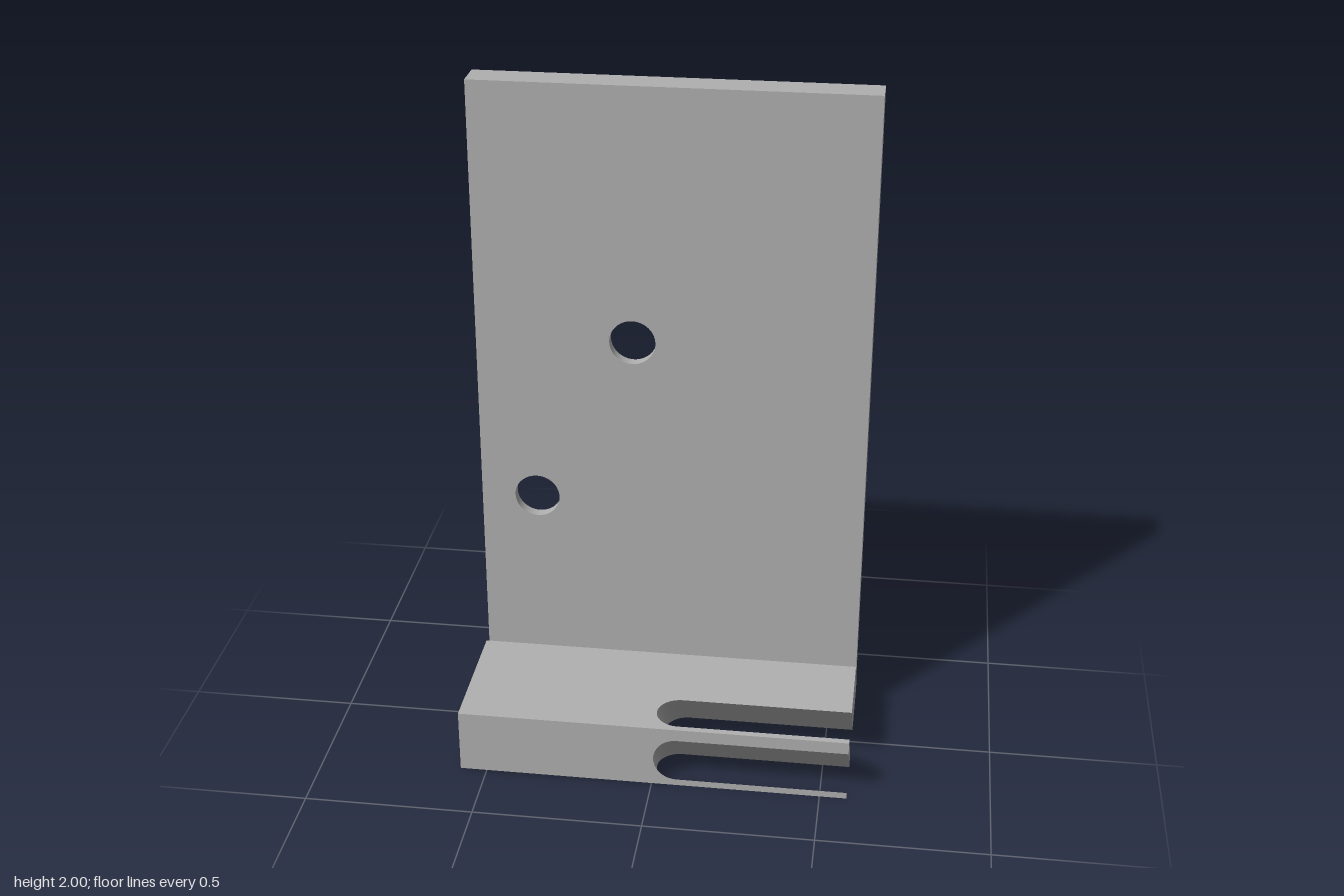
import * as THREE from 'three';

const H = 0.58;                          // half width
const V = (x, y) => new THREE.Vector2(x, y);
const FRONT = 0.291, DECK = 0.196;       // base front and base top
const SLOT = { v: 0.02, w: 0.138, x: 0.005 };
const HOLES = [V(-0.115, 1.23), V(-0.41, 0.705)];
const R_HOLE = 0.068, R_SINK = 0.13;
const Z_FRONT = -0.157, Z_BACK = -0.253; // plate faces

// Side section as (z, y), starting at the front toe
const section = [
  V(FRONT, 0), V(FRONT, DECK), V(-0.118, DECK), V(Z_FRONT, 0.157), V(Z_FRONT, 2),
  V(Z_BACK, 2), V(Z_BACK, 0.06), V(-0.291, 0.022), V(-0.291, 0),
];

export function createModel() {
  const group = new THREE.Group();
  group.name = 'angleBracket';
  const grey = new THREE.MeshStandardMaterial({ color: 0xb0b0b0, side: THREE.DoubleSide });
  grey.name = 'grey';

  // Adds a mesh whose first triangle is made to face the given direction
  function add(name, geo, outward) {
    const p = geo.attributes.position, idx = geo.index.array;
    const [a, b, c] = [0, 1, 2].map(i => new THREE.Vector3().fromBufferAttribute(p, idx[i]));
    if (b.sub(a).cross(c.sub(a)).dot(outward) < 0) {
      for (let i = 0; i < idx.length; i += 3) [idx[i + 1], idx[i + 2]] = [idx[i + 2], idx[i + 1]];
    }
    geo.computeVertexNormals();
    const mesh = new THREE.Mesh(geo, grey);
    mesh.name = name;
    group.add(mesh);
  }

  // Flat face from a 2D outline, placed in space by map(u, v)
  function face(name, outline, map, outward, holes = []) {
    const shape = new THREE.Shape(outline);
    for (const h of holes) {
      shape.holes.push(new THREE.Path().absarc(h.x, h.y, h.r, 0, Math.PI * 2));
    }
    const geo = new THREE.ShapeGeometry(shape, 24);
    const p = geo.attributes.position;
    for (let i = 0; i < p.count; i++) p.setXYZ(i, ...map(p.getX(i), p.getY(i)));
    add(name, geo, outward);
  }

  // Ruled wall between two rows of points
  function wall(name, rowA, rowB, outward) {
    const n = rowA.length, index = [];
    for (let i = 0; i < n - 1; i++) index.push(i, i + 1, n + i, i + 1, n + i + 1, n + i);
    const geo = new THREE.BufferGeometry();
    geo.setAttribute('position', new THREE.Float32BufferAttribute([...rowA, ...rowB].flat(), 3));
    geo.setIndex(index);
    add(name, geo, outward);
  }

  // Round-ended slot edge, open on the left side of the model
  function slotEdge(v0) {
    const r = SLOT.w / 2, pts = [V(H, v0)];
    for (let i = 0; i <= 24; i++) {
      const a = -Math.PI / 2 - Math.PI * i / 24;
      pts.push(V(SLOT.x + r + r * Math.cos(a), v0 + r + r * Math.sin(a)));
    }
    pts.push(V(H, v0 + SLOT.w));
    return pts;
  }

  // Long faces, one for each edge of the section, with cutouts where needed
  const names = ['baseFront', 'baseTop', 'reliefGroove', 'plateFront', 'plateTop',
    'plateBack', 'heelChamfer', 'heelBack', 'baseBottom'];
  const slots = {
    baseFront: [SLOT.v],
    baseTop: [SLOT.v],
    baseBottom: [2 * FRONT - SLOT.v - SLOT.w - DECK, 2 * FRONT - SLOT.v - SLOT.w],
  };
  const holes = {
    plateFront: HOLES.map(h => ({ x: h.x, y: h.y - 0.157, r: R_HOLE })),
    plateBack: HOLES.map(h => ({ x: h.x, y: 2 - h.y, r: R_SINK })),
  };
  names.forEach((name, i) => {
    const a = section[i], b = section[(i + 1) % section.length];
    const len = a.distanceTo(b), d = b.clone().sub(a).divideScalar(len);
    const outline = [V(-H, 0), V(H, 0), ...(slots[name] || []).flatMap(slotEdge), V(H, len), V(-H, len)];
    face(name, outline, (x, v) => [x, a.y + d.y * v, a.x + d.x * v],
      new THREE.Vector3(0, -d.x, d.y), holes[name]);
  });

  // Ends: the left one is cut into three by the slots
  const v1 = SLOT.v + SLOT.w;
  const end = (name, pts, x) =>
    face(name, pts, (z, y) => [x, y, z], new THREE.Vector3(x, 0, 0));
  end('rightEnd', section, -H);
  end('leftEndMain', [V(FRONT - v1, DECK), ...section.slice(2), V(FRONT - v1 - DECK, 0)], H);
  end('leftEndBar', [V(FRONT, v1), V(FRONT, DECK), V(FRONT - SLOT.v, DECK),
    V(FRONT - SLOT.v - DECK, 0), V(FRONT - v1, 0)], H);
  end('leftEndLip', [V(FRONT, 0), V(FRONT, SLOT.v), V(FRONT - SLOT.v, 0)], H);

  // Slanted slot walls, running down and back at 45 degrees
  const edge = slotEdge(SLOT.v), up = new THREE.Vector3(0, 1, -1);
  wall('topSlotWall', edge.map(p => [p.x, DECK, FRONT - p.y]),
    edge.map(p => [p.x, 0, FRONT - p.y - DECK]), up);
  wall('frontSlotWall', edge.map(p => [p.x, p.y, FRONT]),
    edge.map(p => [p.x, 0, FRONT - p.y]), up);

  // Countersunk screw holes
  const ring = (c, r, z) => Array.from({ length: 49 }, (_, i) => {
    const a = i / 48 * Math.PI * 2;
    return [c.x + r * Math.cos(a), c.y + r * Math.sin(a), z];
  });
  const zMid = Z_BACK + R_SINK - R_HOLE, inward = new THREE.Vector3(-1, 0, 0);
  for (const c of HOLES) {
    wall('holeBore', ring(c, R_HOLE, Z_FRONT), ring(c, R_HOLE, zMid), inward);
    wall('holeCountersink', ring(c, R_HOLE, zMid), ring(c, R_SINK, Z_BACK), inward);
  }

  // Thin raised strip on the back of the plate
  const pad = new THREE.Mesh(new THREE.BoxGeometry(0.08, 1.645, 0.007), grey);
  pad.position.set(H - 0.04, 1.0575, Z_BACK - 0.0035);
  pad.name = 'backStrip';
  group.add(pad);

  return group;
}
